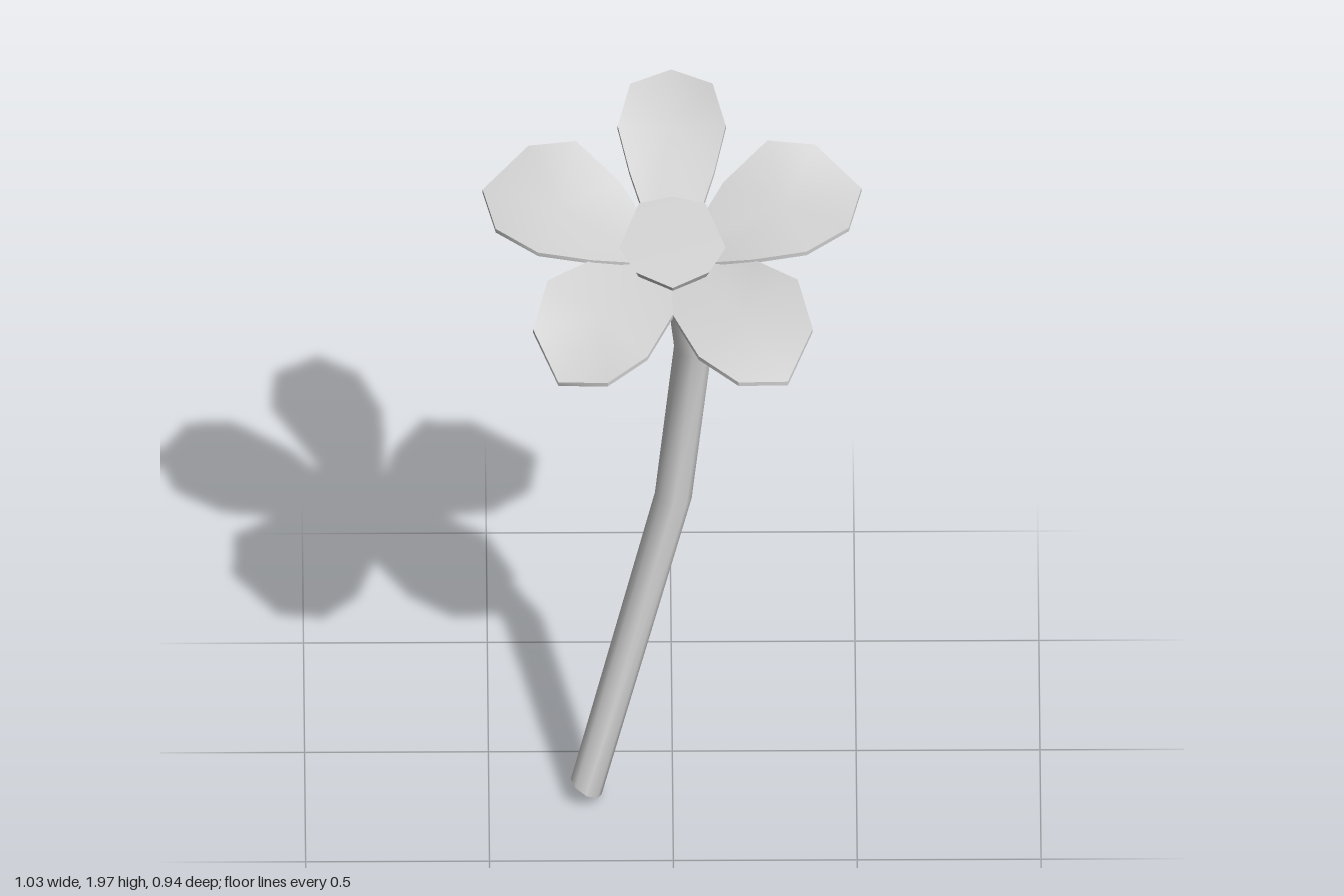
import * as THREE from 'three';
import { toCreasedNormals } from 'three/addons/utils/BufferGeometryUtils.js';

const grey = new THREE.MeshStandardMaterial({ color: 0xcccccc, side: THREE.DoubleSide });
grey.name = 'pale grey';

function makeMesh(name, positions, crease = 0.8) {
  let g = new THREE.BufferGeometry();
  g.setAttribute('position', new THREE.Float32BufferAttribute(positions, 3));
  g = toCreasedNormals(g, crease);
  const mesh = new THREE.Mesh(g, grey);
  mesh.name = name;
  return mesh;
}

// Thin cupped plate: a fan from mid to a clockwise outline (seen from above), with underside and rim.
function plate(name, mid, outline, thickness, side = 1, shrink = 1) {
  const out = [];
  const tri = (a, b, c) => {
    const order = side > 0 ? [a, b, c] : [a, c, b];
    for (const p of order) out.push(p[0] * side, p[1], p[2]);
  };
  const under = (p) => [
    mid[0] + (p[0] - mid[0]) * shrink,
    p[1] - thickness,
    mid[2] + (p[2] - mid[2]) * shrink,
  ];
  outline.forEach((a, i) => {
    const b = outline[(i + 1) % outline.length];
    const c = under(a), d = under(b);
    tri(mid, b, a);
    tri(under(mid), c, d);
    tri(a, b, d);
    tri(a, d, c);
  });
  return makeMesh(name, out);
}

// Mirrors half an outline (x > 0, back to front) into a closed clockwise one.
const mirrored = (half) => [
  ...half,
  ...half.filter((p) => p[0] > 0).reverse().map(([x, y, z]) => [-x, y, z]),
];

function stem() {
  // centre x, y, z; half widths in x and z; tilt of the ring in x and z
  const rings = [
    [-0.235, 0.055, 0.2, 0.042, 0.068, -0.6, 0.25],
    [0.003, 0.86, -0.042, 0.05, 0.055, -0.2, 0.12],
    [0.057, 1.36, -0.05, 0.052, 0.055, 0, 0],
    [0.015, 1.765, 0.01, 0.05, 0.05, 0.1, -0.35],
  ];
  const sides = 8;
  const point = ([x, y, z, rx, rz, tx, tz], i) => {
    const a = (i / sides) * Math.PI * 2;
    const dx = rx * Math.cos(a), dz = rz * Math.sin(a);
    return [x + dx, y + tx * dx + tz * dz, z + dz];
  };
  const out = [];
  for (let i = 0; i < sides; i++) {
    for (let r = 0; r < rings.length - 1; r++) {
      const a = point(rings[r], i), b = point(rings[r], i + 1);
      const c = point(rings[r + 1], i), d = point(rings[r + 1], i + 1);
      out.push(...a, ...c, ...b, ...b, ...c, ...d);
    }
    // cut end
    out.push(...rings[0].slice(0, 3), ...point(rings[0], i), ...point(rings[0], i + 1));
  }
  return makeMesh('stem', out, 1);
}

export function createModel() {
  const flower = new THREE.Group();
  flower.name = 'flower';
  flower.add(stem());

  const backOutline = mirrored([
    [0, 1.98, -0.475], [0.112, 1.995, -0.39], [0.147, 1.945, -0.265],
    [0.115, 1.86, -0.17], [0.06, 1.77, -0.02],
  ]);
  flower.add(plate('backPetal', [0, 1.925, -0.28], backOutline, 0.012));

  const sideOutline = [
    [0.04, 1.75, 0], [0.14, 1.85, -0.135], [0.26, 1.935, -0.21], [0.39, 1.92, -0.21],
    [0.515, 1.835, -0.125], [0.48, 1.805, 0.015], [0.365, 1.78, 0.09],
    [0.22, 1.765, 0.105], [0.08, 1.735, 0.08],
  ];
  const frontOutline = [
    [0, 1.735, 0.06], [0.13, 1.745, 0.06], [0.23, 1.76, 0.105], [0.34, 1.76, 0.19],
    [0.38, 1.69, 0.32], [0.312, 1.592, 0.43], [0.178, 1.612, 0.46],
    [0.07, 1.645, 0.385], [0, 1.69, 0.255],
  ];
  for (const [side, label] of [[1, 'left'], [-1, 'right']]) {
    flower.add(plate(label + 'SidePetal', [0.3, 1.83, -0.05], sideOutline, 0.012, side));
    flower.add(plate(label + 'FrontPetal', [0.19, 1.695, 0.27], frontOutline, 0.012, side));
  }

  // raised centre, tapering below
  const discOutline = mirrored([
    [0, 1.835, -0.09], [0.09, 1.828, -0.07], [0.145, 1.775, 0.065],
    [0.1, 1.745, 0.135], [0, 1.725, 0.18],
  ]);
  flower.add(plate('flowerCentre', [0, 1.787, 0.04], discOutline, 0.05, 1, 0.8));
  return flower;
}
